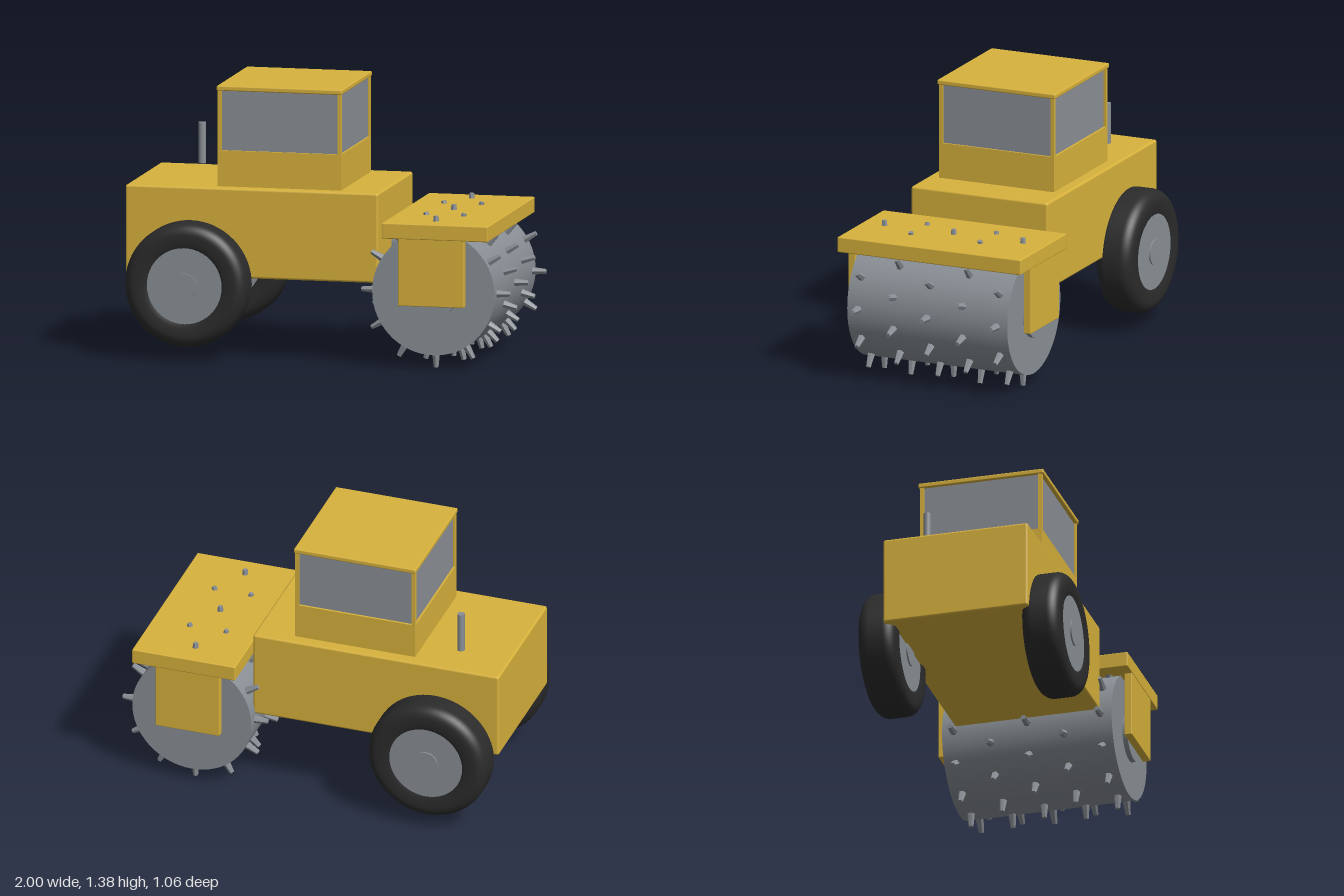
import * as THREE from 'three';
import { RoundedBoxGeometry } from 'three/addons/geometries/RoundedBoxGeometry.js';

const material = (name, color) => {
  const m = new THREE.MeshStandardMaterial({ color });
  m.name = name;
  return m;
};

export function createModel() {
  const model = new THREE.Group();
  model.name = 'padfootRoller';
  const yellow = material('yellowPaint', 0xd8b23c);
  const steel = material('steel', 0x8a9096);
  const glass = material('tintedGlass', 0x8b9095);
  const rubber = material('rubber', 0x2b2b2b);

  const add = (parent, name, geometry, mat, x = 0, y = 0, z = 0) => {
    const mesh = new THREE.Mesh(geometry, mat);
    mesh.name = name;
    mesh.position.set(x, y, z);
    parent.add(mesh);
    return mesh;
  };

  // Box given by its limits in x and y and its half width in z
  const block = (name, mat, x0, x1, y0, y1, halfZ, radius = 0, z = 0) => {
    const size = [x1 - x0, y1 - y0, halfZ * 2];
    const geometry = radius
      ? new RoundedBoxGeometry(...size, 2, radius)
      : new THREE.BoxGeometry(...size);
    return add(model, name, geometry, mat, (x0 + x1) / 2, (y0 + y1) / 2, z);
  };

  // Cylinder lying along z
  const disc = (parent, name, radius, width, mat, x, y, z, sides = 48) => {
    const geometry = new THREE.CylinderGeometry(radius, radius, width, sides).rotateX(Math.PI / 2);
    return add(parent, name, geometry, mat, x, y, z);
  };

  // Body and cab
  block('body', yellow, -1, 0.31, 0.415, 0.872, 0.38, 0.012);
  block('cabBase', yellow, -0.535, 0.105, 0.86, 1.055, 0.32);
  block('cabGlass', glass, -0.525, 0.095, 1.055, 1.36, 0.308);
  for (const x of [-0.525, 0.095]) {
    for (const z of [-0.31, 0.31]) {
      block('cabPost', yellow, x - 0.01, x + 0.01, 1.055, 1.36, 0.01, 0, z);
    }
  }
  block('cabRoof', yellow, -0.54, 0.11, 1.36, 1.385, 0.328, 0.006);
  add(model, 'exhaustPipe', new THREE.CylinderGeometry(0.019, 0.019, 0.21, 20), steel, -0.745, 1.005, -0.22);

  // Rear wheels: rounded tyre section spun about the axle
  const profile = [new THREE.Vector2(0.19, -0.09), new THREE.Vector2(0.215, -0.1)];
  const half = 0.1, outer = 0.317, round = 0.06;
  for (const side of [-1, 1]) {
    for (let i = 0; i <= 8; i++) {
      const a = (side < 0 ? i : 8 - i) / 8 * Math.PI / 2;
      profile.push(new THREE.Vector2(
        outer - round + Math.sin(a) * round,
        side * (half - round + Math.cos(a) * round)
      ));
    }
  }
  profile.push(new THREE.Vector2(0.215, 0.1), new THREE.Vector2(0.19, 0.09));
  const tyre = new THREE.LatheGeometry(profile, 64).rotateX(Math.PI / 2);
  for (const side of [-1, 1]) {
    const wheel = new THREE.Group();
    wheel.name = side > 0 ? 'frontSideWheel' : 'backSideWheel';
    wheel.position.set(-0.66, 0.387, side * 0.43);
    add(wheel, 'tyre', tyre, rubber);
    disc(wheel, 'rim', 0.194, 0.184, steel, 0, 0, 0);
    disc(wheel, 'hub', 0.065, 0.2, steel, 0, 0, 0, 32);
    model.add(wheel);
  }

  // Drum with end bosses and staggered rows of tapered pads
  const drum = new THREE.Group();
  drum.name = 'drum';
  drum.position.set(0.613, 0.386, 0);
  disc(drum, 'drumShell', 0.317, 0.89, steel, 0, 0, 0, 64);
  disc(drum, 'drumBoss', 0.125, 0.94, steel, 0, 0, 0);
  const pad = new THREE.CylinderGeometry(0.013, 0.022, 0.086, 6).toNonIndexed();
  pad.computeVertexNormals();
  pad.translate(0, 0.343, 0);
  [-0.385, -0.1925, 0, 0.1925, 0.385].forEach((z, row) => {
    for (let i = 0; i < 12; i++) {
      const spike = add(drum, 'pad', pad, steel, 0, 0, z);
      spike.rotation.z = (i + (row % 2) / 2) * Math.PI / 6;
    }
  });
  model.add(drum);

  // Drum cover, side arms and the hitch to the body
  block('drumCover', yellow, 0.36, 0.91, 0.665, 0.745, 0.51, 0.006);
  for (const side of [-1, 1]) {
    block('drumArm', yellow, 0.445, 0.785, 0.325, 0.7, 0.02, 0.004, side * 0.488);
  }
  const hitch = new THREE.CylinderGeometry(0.085, 0.085, 0.25, 32).rotateZ(Math.PI / 2);
  add(model, 'hitch', hitch, steel, 0.32, 0.575, 0);

  return model;
}
